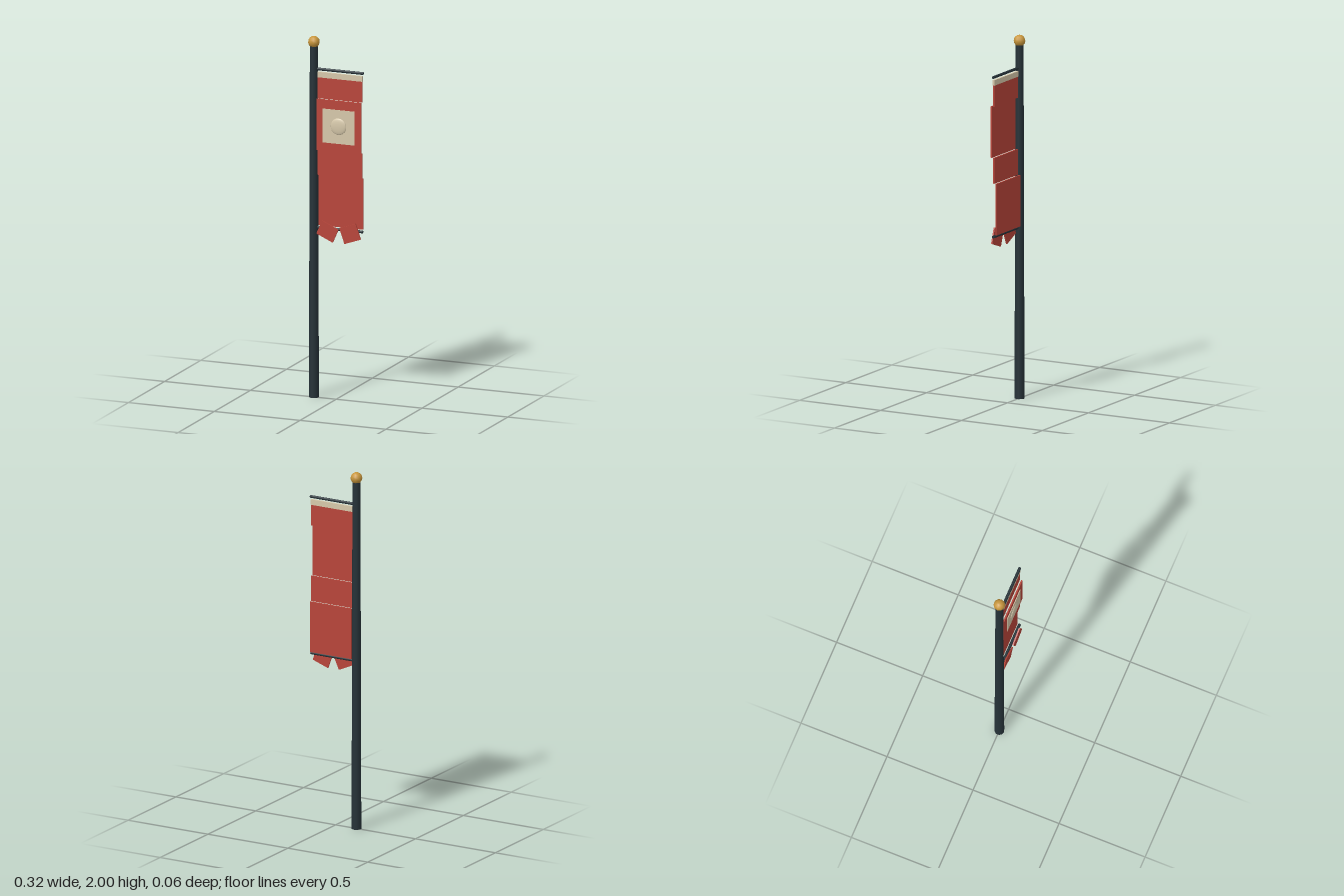
import * as THREE from 'three';

function material(name, color) {
  const m = new THREE.MeshStandardMaterial({ color });
  m.name = name;
  return m;
}

export function createModel() {
  const root = new THREE.Group();
  root.name = 'bannerOnPole';

  const iron = material('dark iron', 0x263238);
  const red = material('red cloth', 0xb8453a);
  const cream = material('cream cloth', 0xd6c8aa);
  const gold = material('gold', 0xc8963c);

  const add = (name, geometry, mat, x, y, z) => {
    const mesh = new THREE.Mesh(geometry, mat);
    mesh.name = name;
    mesh.position.set(x, y, z);
    root.add(mesh);
    return mesh;
  };

  // Tapered pole with a ball on top
  const poleX = -0.13;
  add('pole', new THREE.CylinderGeometry(0.022, 0.027, 1.945, 10), iron, poleX, 0.9725, 0);
  add('finial', new THREE.SphereGeometry(0.032, 10, 8), gold, poleX, 1.968, 0);

  // Rods that hold the cloth at top and bottom
  for (const [name, y, end] of [['topRod', 1.82, 0.158], ['bottomRod', 0.942, 0.155]]) {
    const rod = add(name, new THREE.CylinderGeometry(0.008, 0.008, end - poleX, 8), iron, (end + poleX) / 2, y, 0);
    rod.rotation.z = Math.PI / 2;
  }

  // Cloth panels, stepped back and forth in a gentle wave
  const panels = 6, top = 1.80, bottom = 0.952;
  const step = (top - bottom) / panels;
  for (let i = 0; i < panels; i++) {
    const z = 0.0165 * Math.sin(i * Math.PI / 3);
    add('clothPanel', new THREE.BoxGeometry(0.258, step, 0.008), red, 0.022, top - step * (i + 0.5), z);
  }

  // Pale hem under the top rod
  add('hem', new THREE.BoxGeometry(0.26, 0.03, 0.012), cream, 0.023, 1.79, 0);

  // Square patch with a domed boss
  add('patch', new THREE.BoxGeometry(0.185, 0.187, 0.004), cream, 0.022, 1.515, 0.0198);
  const boss = add('boss', new THREE.SphereGeometry(0.046, 16, 10), cream, 0.022, 1.517, 0.0215);
  boss.scale.z = 0.19;

  // Two splayed tails
  for (const [x, width, height, turn] of [[-0.045, 0.104, 0.081, -0.42], [0.087, 0.1, 0.09, 0.34]]) {
    const tail = add('tail', new THREE.BoxGeometry(width, height, 0.008), red, x, 0.928, 0.0135);
    tail.rotation.z = turn;
  }

  return root;
}
